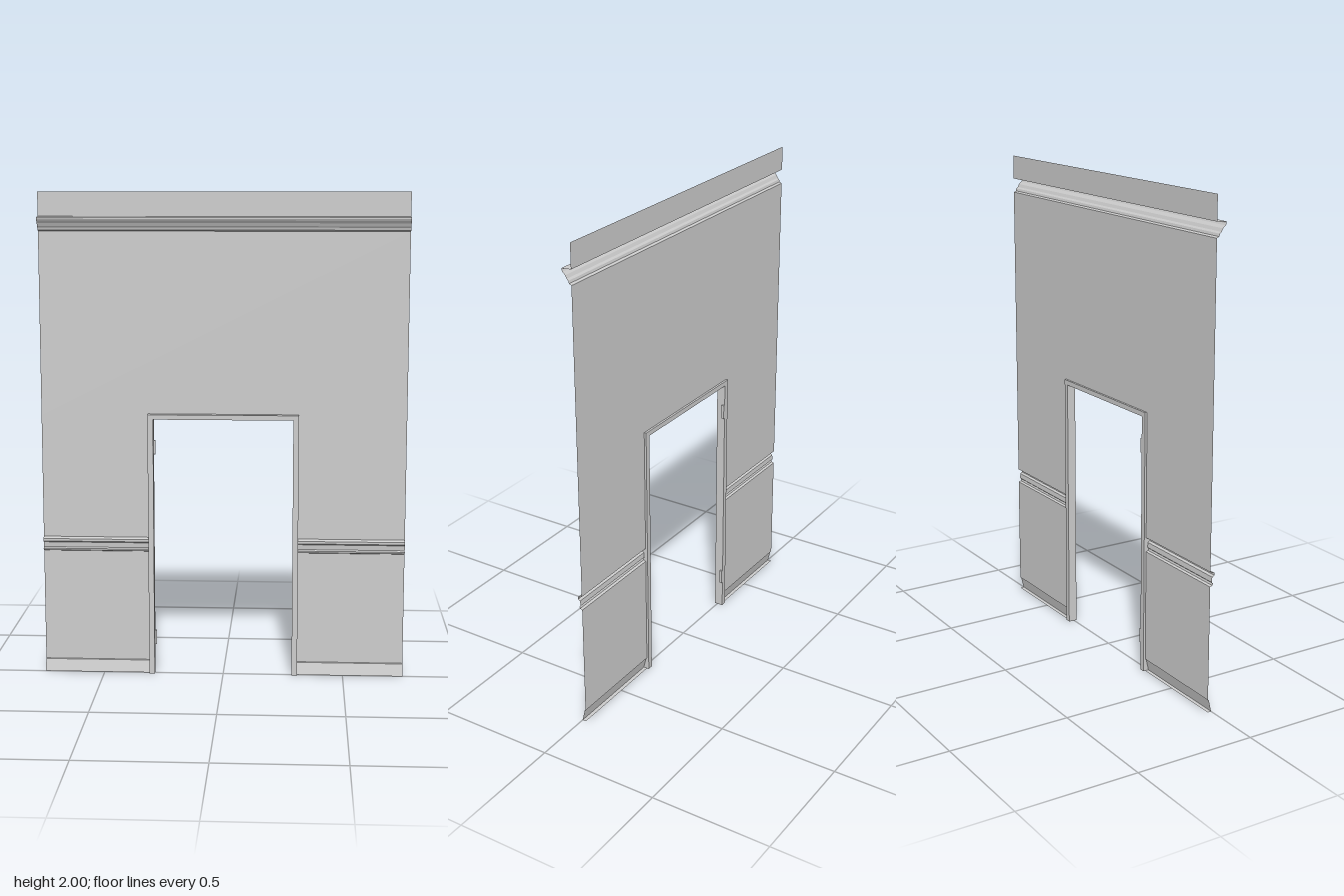
import * as THREE from 'three';

const WALL_Z = -0.016;   // plane of the wall sheet
const HALF = 0.75;       // half wall width
const OUT = 0.31, IN = 0.287, TOP = 1.10, HEAD = 1.08; // door frame
const BACK = -0.025, FRONT = 0.012;                    // frame depth

// Profiles run upwards as [height, projection from the wall]
const baseboard = [[0, 0], [0, 0.016], [0.05, 0.004], [0.052, 0]];
const chairRail = [
  [0.52, 0], [0.524, 0.01], [0.532, 0.013], [0.537, 0.007],
  [0.558, 0.009], [0.564, 0.018], [0.574, 0.018], [0.58, 0],
];
const crown = [
  [1.843, 0], [1.848, 0.01], [1.858, 0.013], [1.864, 0.02],
  [1.876, 0.026], [1.886, 0.037], [1.893, 0.041], [1.9, 0.041], [1.902, 0],
];

export function createModel() {
  const group = new THREE.Group();
  const frameMat = new THREE.MeshStandardMaterial({ color: 0xcccccc });
  const sheetMat = new THREE.MeshStandardMaterial({ color: 0xcccccc, side: THREE.DoubleSide });

  // Open sheet: a profile swept along x, with hard creases
  function sheet(name, x0, x1, profile) {
    const pos = [];
    for (let i = 0; i < profile.length - 1; i++) {
      const [ya, pa] = profile[i], [yb, pb] = profile[i + 1];
      const za = WALL_Z + pa, zb = WALL_Z + pb;
      pos.push(x0, ya, za, x1, ya, za, x1, yb, zb);
      pos.push(x0, ya, za, x1, yb, zb, x0, yb, zb);
    }
    const geo = new THREE.BufferGeometry();
    geo.setAttribute('position', new THREE.Float32BufferAttribute(pos, 3));
    geo.computeVertexNormals();
    const mesh = new THREE.Mesh(geo, sheetMat);
    mesh.name = name;
    group.add(mesh);
  }

  function box(name, x0, x1, y0, y1, z0, z1) {
    const mesh = new THREE.Mesh(new THREE.BoxGeometry(x1 - x0, y1 - y0, z1 - z0), frameMat);
    mesh.position.set((x0 + x1) / 2, (y0 + y1) / 2, (z0 + z1) / 2);
    mesh.name = name;
    group.add(mesh);
  }

  // Wall: one piece above the doorway, one on each side with rail and baseboard
  const sideProfile = [...baseboard, ...chairRail, [TOP - 0.01, 0]];
  const edge = OUT - 0.01;
  sheet('upperWall', -HALF, HALF, [[TOP - 0.01, 0], ...crown, [2, 0]]);
  sheet('rightWall', -HALF, -edge, sideProfile);
  sheet('leftWall', edge, HALF, sideProfile);

  // Door frame
  box('rightJamb', -OUT, -IN, 0, HEAD, BACK, FRONT);
  box('leftJamb', IN, OUT, 0, HEAD, BACK, FRONT);
  box('frameHead', -OUT, OUT, HEAD, TOP, BACK, FRONT);

  // Hinges on the right jamb
  for (const y of [0.12, 0.93]) {
    box('hinge', -IN - 0.003, -0.28, y, y + 0.06, BACK, BACK + 0.012);
  }
  return group;
}
